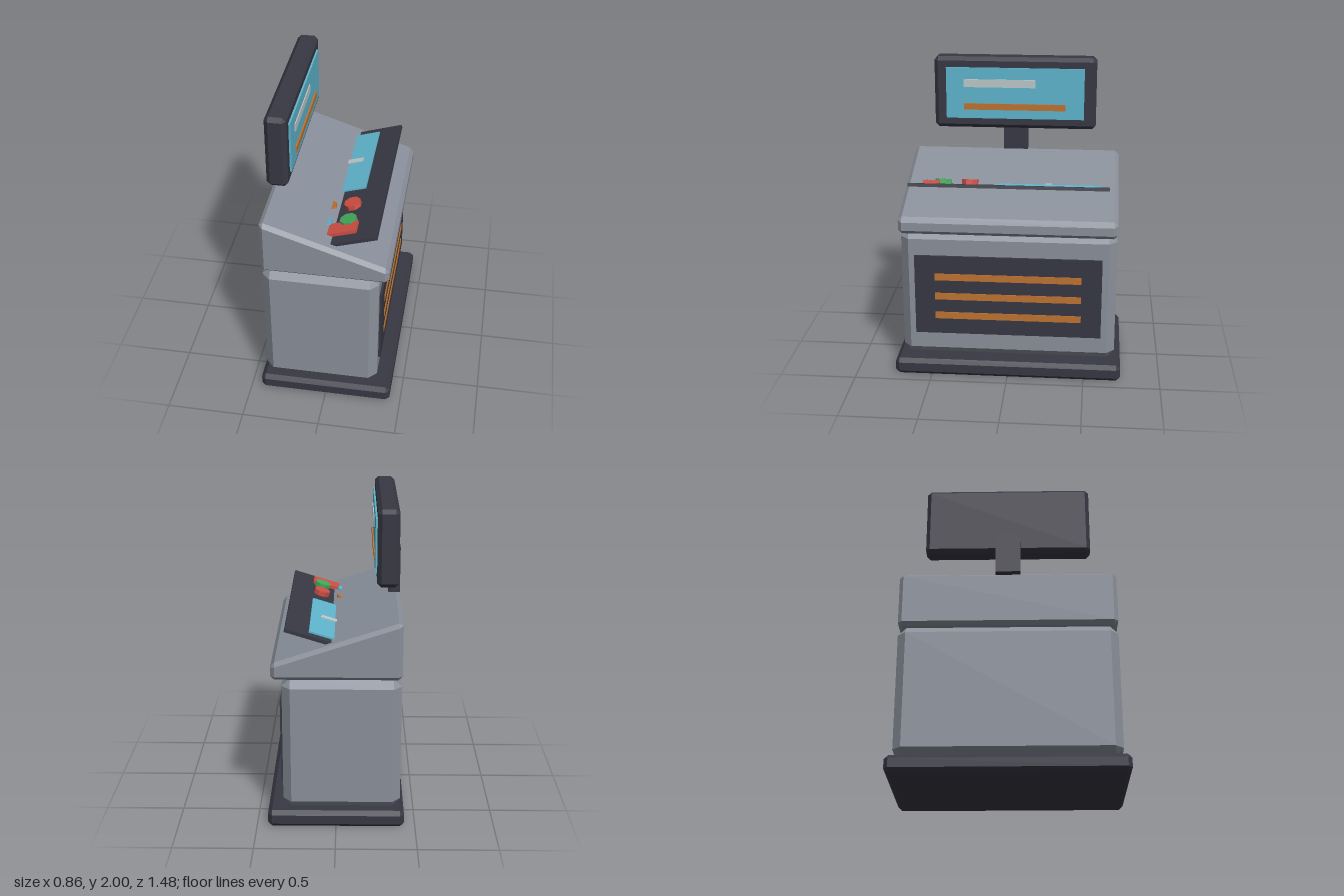
import * as THREE from 'three';
import { ConvexGeometry } from 'three/addons/geometries/ConvexGeometry.js';

const paint = (name, color) => {
  const m = new THREE.MeshStandardMaterial({ color });
  m.name = name;
  return m;
};

export function createModel() {
  const grey = paint('casing grey', 0x8a909b);
  const dark = paint('dark trim', 0x383844);
  const cyan = paint('screen cyan', 0x60b6ce);
  const orange = paint('orange', 0xc07431);
  const red = paint('red', 0xd04f45);
  const green = paint('green', 0x44aa5b);
  const white = paint('pale grey', 0xbecaca);

  const model = new THREE.Group();
  model.name = 'kiosk';

  const add = (parent, name, geometry, material) => {
    const mesh = new THREE.Mesh(geometry, material);
    mesh.name = name;
    parent.add(mesh);
    return mesh;
  };

  // plain box given by its limits
  const box = (parent, name, material, [x0, x1], [y0, y1], [z0, z1]) => {
    const mesh = add(parent, name, new THREE.BoxGeometry(x1 - x0, y1 - y0, z1 - z0), material);
    mesh.position.set((x0 + x1) / 2, (y0 + y1) / 2, (z0 + z1) / 2);
    return mesh;
  };

  // box with every edge chamfered by c; topAt(x) may slope the upper face
  const chamferBox = (name, material, [x0, x1], [y0, y1], halfZ, c, topAt = () => y1) => {
    const points = [];
    for (const sx of [0, 1]) for (const sy of [0, 1]) for (const sz of [-1, 1]) {
      for (let axis = 0; axis < 3; axis++) {
        const inset = [0, 1, 2].map((i) => (i === axis ? 0 : c));
        const x = sx ? x1 - inset[0] : x0 + inset[0];
        const y = sy ? topAt(x) - inset[1] : y0 + inset[1];
        points.push(new THREE.Vector3(x, y, sz * (halfZ - inset[2])));
      }
    }
    return add(model, name, new ConvexGeometry(points), material);
  };

  // cabinet
  chamferBox('base', dark, [-0.43, 0.43], [0, 0.11], 0.742, 0.026);
  chamferBox('cabinet', grey, [-0.405, 0.335], [0.11, 0.98], 0.7, 0.053);
  chamferBox('slopedDesk', grey, [-0.405, 0.4], [0.98, 1.345], 0.7, 0.025,
    (x) => 1.345 - 0.334 * (x + 0.38));

  // front panel with stripes
  box(model, 'frontPanel', dark, [0.325, 0.35], [0.275, 0.818], [-0.608, 0.608]);
  for (const y of [0.405, 0.54, 0.675]) {
    box(model, 'panelStripe', orange, [0.347, 0.355], [y - 0.023, y + 0.023], [-0.477, 0.477]);
  }

  // display on its neck
  box(model, 'displayNeck', dark, [-0.405, -0.33], [1.357, 1.655], [-0.081, 0.081]);
  chamferBox('displayHousing', dark, [-0.38, -0.247], [1.52, 2], 0.54, 0.025);
  box(model, 'displayScreen', cyan, [-0.255, -0.235], [1.59, 1.932], [-0.46, 0.46]);
  box(model, 'displayTitleBar', white, [-0.236, -0.229], [1.802, 1.855], [-0.135, 0.342]);
  box(model, 'displayTextBar', orange, [-0.236, -0.226], [1.65, 1.692], [-0.336, 0.342]);

  // tilted control shelf, its rear edge sunk in the desk
  const shelf = new THREE.Group();
  shelf.name = 'controlShelf';
  shelf.position.set(0.03, 1.209, 0);
  shelf.rotation.z = 0.303;
  model.add(shelf);
  box(shelf, 'shelfPlate', dark, [-0.12, 0.293], [-0.022, 0], [-0.641, 0.641]);
  box(shelf, 'touchScreen', cyan, [-0.1, 0.145], [-0.002, 0.011], [-0.583, 0.09]);
  box(shelf, 'touchScreenLabel', white, [-0.06, 0.079], [0.01, 0.018], [-0.268, -0.226]);
  box(shelf, 'cardSlot', red, [-0.06, 0.154], [-0.002, 0.022], [0.457, 0.566]);

  // eight-sided push buttons
  const buttons = [
    [0.088, 0.265, red], [0.088, 0.44, green],
    [-0.071, 0.265, orange], [-0.071, 0.44, cyan],
  ];
  for (const [x, z, material] of buttons) {
    const geometry = new THREE.CylinderGeometry(0.055, 0.055, 0.034, 8).rotateY(Math.PI / 8).toNonIndexed();
    geometry.computeVertexNormals();
    add(shelf, 'pushButton', geometry, material).position.set(x, 0.015, z);
  }

  return model;
}
